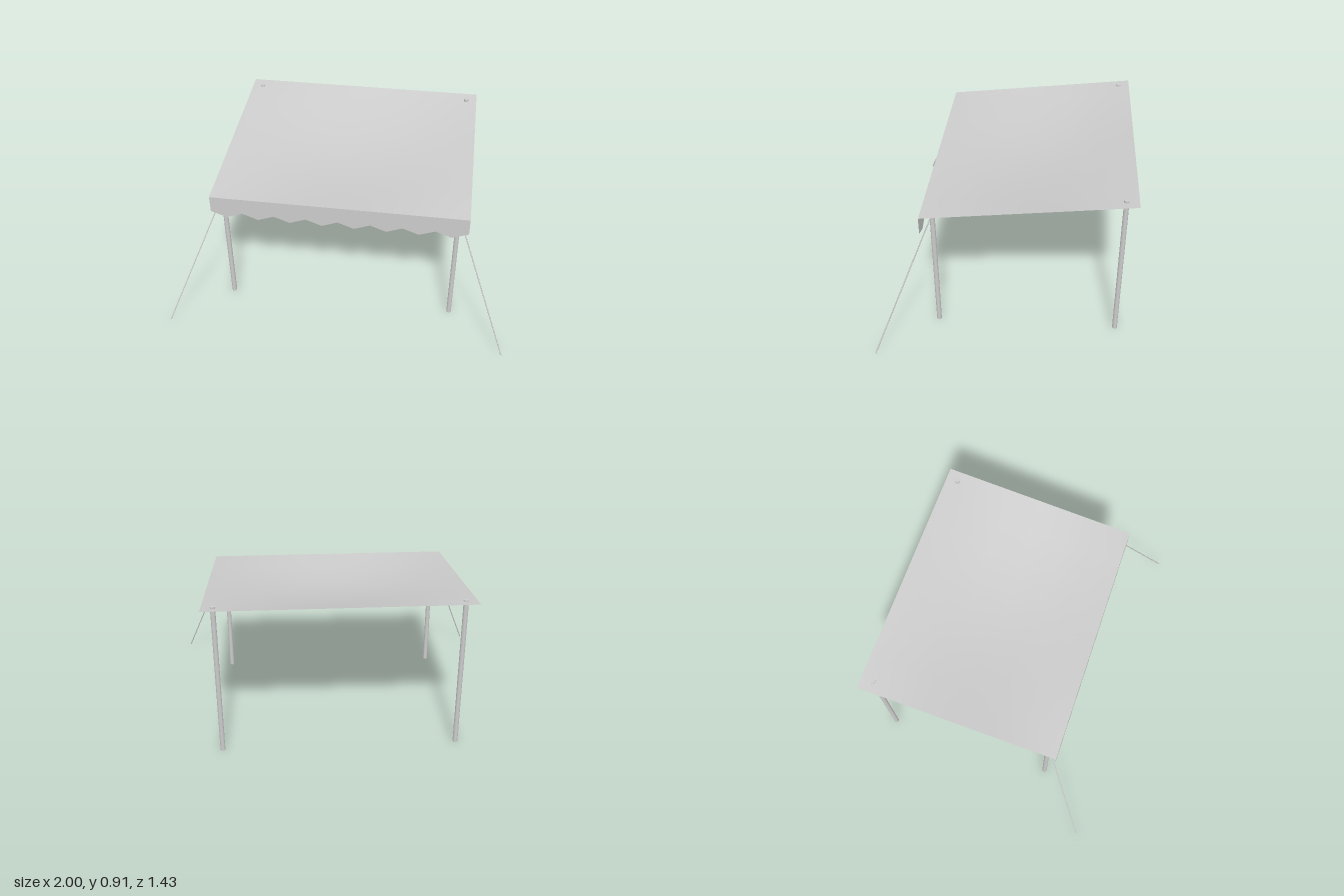
import * as THREE from 'three';

export function createModel() {
  const group = new THREE.Group();
  const metal = new THREE.MeshStandardMaterial({ color: 0xcccccc });
  const cloth = new THREE.MeshStandardMaterial({ color: 0xcccccc, side: THREE.DoubleSide });
  const add = (name, geometry, material) => {
    const mesh = new THREE.Mesh(geometry, material);
    mesh.name = name;
    group.add(mesh);
    return mesh;
  };

  const halfW = 0.745, frontZ = 0.46, backZ = -0.713;
  const frontY = 0.775, backY = 0.91, sag = 0.077;

  // Sloping canopy sheet: straight edges, sagging in the middle
  const sheet = new THREE.PlaneGeometry(halfW * 2, frontZ - backZ, 8, 6);
  sheet.rotateX(-Math.PI / 2);
  sheet.translate(0, 0, (frontZ + backZ) / 2);
  const p = sheet.attributes.position;
  for (let i = 0; i < p.count; i++) {
    const u = (p.getX(i) + halfW) / (2 * halfW);
    const t = (frontZ - p.getZ(i)) / (frontZ - backZ);
    p.setY(i, frontY + (backY - frontY) * t - sag * Math.sin(Math.PI * u) * Math.sin(Math.PI * t));
  }
  sheet.computeVertexNormals();
  add('canopy', sheet, cloth);

  // Hanging front valance with a zigzag lower edge
  const teeth = 8, outline = new THREE.Shape();
  outline.moveTo(halfW, frontY);
  outline.lineTo(-halfW, frontY);
  for (let i = 0; i <= teeth * 2; i++) {
    outline.lineTo(-halfW + (i * halfW) / teeth, i % 2 ? 0.64 : 0.675);
  }
  outline.closePath();
  add('valance', new THREE.ShapeGeometry(outline), cloth).position.z = frontZ;

  for (const [side, s] of [['left', 1], ['right', -1]]) {
    // Upright poles, the back pair just piercing the sheet
    for (const [end, z, h] of [['Front', 0.395, 0.775], ['Back', -0.645, 0.91]]) {
      const pole = add(side + end + 'Pole', new THREE.CylinderGeometry(0.0142, 0.0142, h, 10), metal);
      pole.position.set(s * 0.68, h / 2, z);
    }

    // Guy rope from the front pole top to the ground
    const rope = new THREE.LineCurve3(
      new THREE.Vector3(s * 0.68, 0.765, 0.395),
      new THREE.Vector3(s * 0.997, 0.002, 0.71)
    );
    add(side + 'GuyRope', new THREE.TubeGeometry(rope, 1, 0.0036, 6), metal);
  }

  return group;
}
